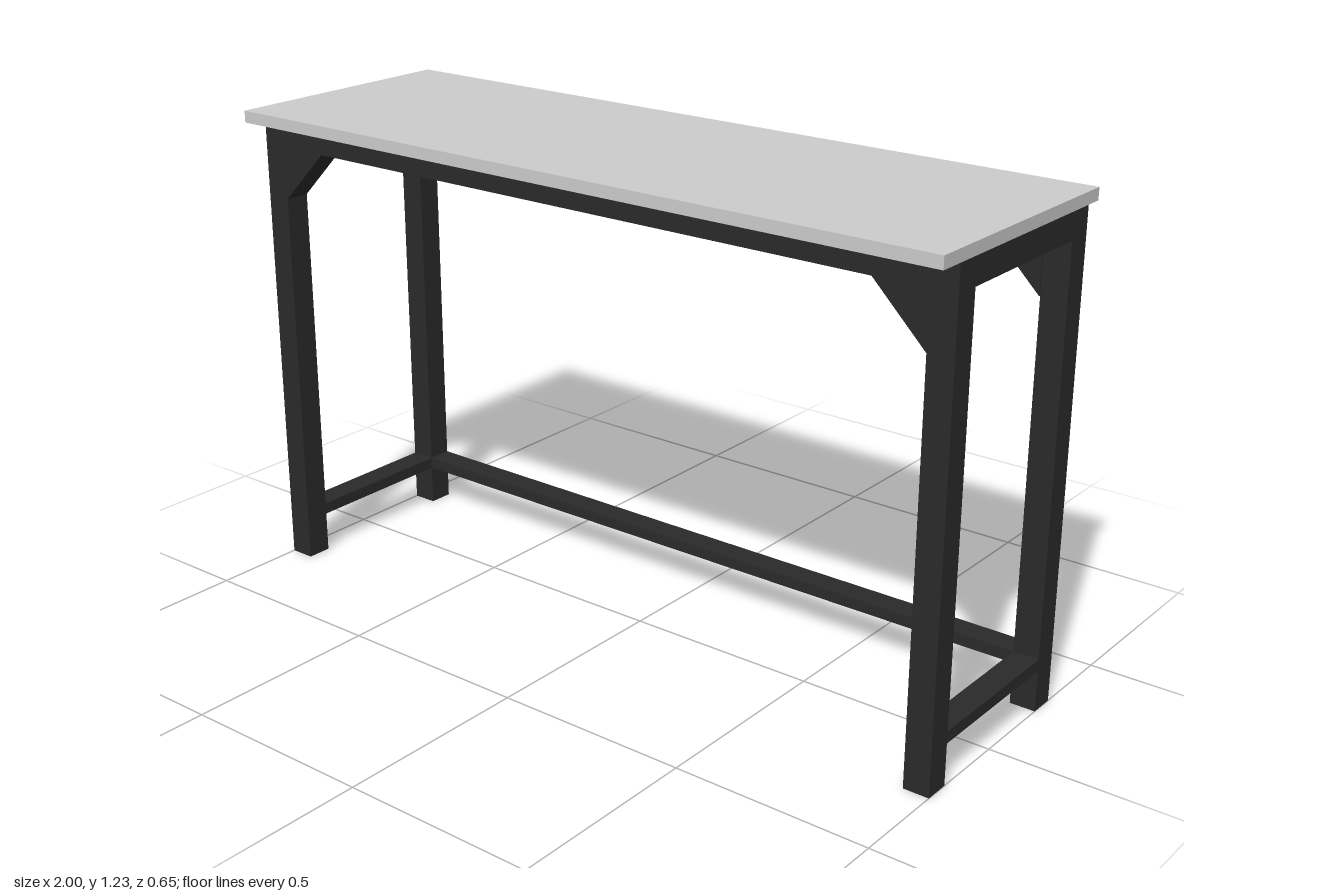
import * as THREE from 'three';

export function createModel() {
  const model = new THREE.Group();
  const topMat = new THREE.MeshStandardMaterial({ color: 0xcccccc });
  const frameMat = new THREE.MeshStandardMaterial({ color: 0x2a2a2a });

  const T = 0.065;                    // square section of the frame
  const H = 1.2;                      // frame height
  const LEG_X = 1 - T / 2;
  const FRONT_Z = 0.2275, BACK_Z = -0.2475;
  const MID_Z = (FRONT_Z + BACK_Z) / 2;
  const SPAN_X = 2 - 2 * T;
  const SPAN_Z = FRONT_Z - BACK_Z - T;
  const RAIL_Y = H - T / 2;
  const BAR_H = 0.03, BAR_Y = 0.12;

  const add = (name, geometry, x, y, z, material = frameMat) => {
    const mesh = new THREE.Mesh(geometry, material);
    mesh.name = name;
    mesh.position.set(x, y, z);
    model.add(mesh);
  };
  const box = (name, w, h, d, x, y, z, material) =>
    add(name, new THREE.BoxGeometry(w, h, d), x, y, z, material);

  // Table top
  box('tableTop', 2, 0.03, 0.65, 0, H + 0.015, 0, topMat);

  // Triangular corner brace between a leg and a long rail
  const braceGeometry = (side) => {
    const shape = new THREE.Shape();
    shape.moveTo(side * (1 - T), H - T);
    shape.lineTo(side * 0.8, H - T);
    shape.lineTo(side * (1 - T), 1.0);
    shape.closePath();
    return new THREE.ExtrudeGeometry(shape, { depth: T, bevelEnabled: false });
  };

  for (const [end, z] of [['front', FRONT_Z], ['back', BACK_Z]]) {
    // Long rail under the top
    box(end + 'Rail', SPAN_X, T, T, 0, RAIL_Y, z);
    for (const side of [-1, 1]) {
      const hand = side > 0 ? 'Left' : 'Right';
      box(end + hand + 'Leg', T, H, T, side * LEG_X, H / 2, z);
      // The back braces sit slightly inward of the legs
      const inset = end === 'back' ? 0.005 : 0;
      add(end + hand + 'Brace', braceGeometry(side), 0, 0, z - T / 2 + inset);
    }
  }

  // Short rails and flat foot bars at both ends
  for (const side of [-1, 1]) {
    const hand = side > 0 ? 'left' : 'right';
    box(hand + 'Rail', T, T, SPAN_Z, side * LEG_X, RAIL_Y, MID_Z);
    box(hand + 'FootBar', T, BAR_H, SPAN_Z, side * LEG_X, BAR_Y, MID_Z);
  }

  // Flat foot bar along the back
  box('backFootBar', SPAN_X, BAR_H, T, 0, BAR_Y, BACK_Z);

  return model;
}
